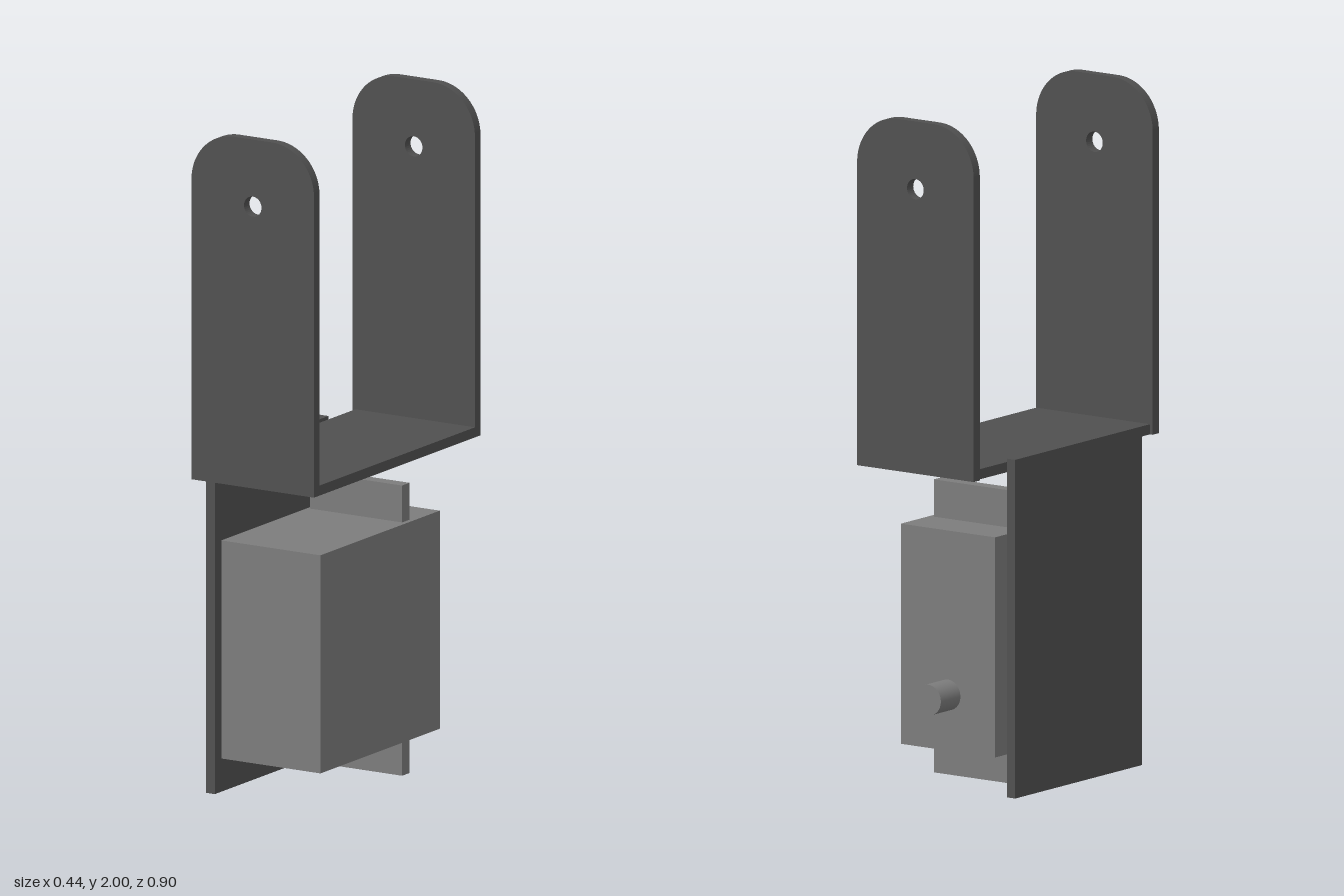
import * as THREE from 'three';

const dark = new THREE.MeshStandardMaterial({ color: 0x505050 });
const light = new THREE.MeshStandardMaterial({ color: 0x7c7c7c });

// Box given by its min and max corners
function box(name, material, [x0, y0, z0], [x1, y1, z1]) {
  const mesh = new THREE.Mesh(new THREE.BoxGeometry(x1 - x0, y1 - y0, z1 - z0), material);
  mesh.name = name;
  mesh.position.set((x0 + x1) / 2, (y0 + y1) / 2, (z0 + z1) / 2);
  return mesh;
}

// Upright arm with two rounded top corners and a pivot hole
function armGeometry(depth) {
  const x0 = -0.2, x1 = 0.22, y0 = 0.96, y1 = 2, r = 0.145;
  const shape = new THREE.Shape();
  shape.moveTo(x0, y0);
  shape.lineTo(x1, y0);
  shape.lineTo(x1, y1 - r);
  shape.absarc(x1 - r, y1 - r, r, 0, Math.PI / 2);
  shape.lineTo(x0 + r, y1);
  shape.absarc(x0 + r, y1 - r, r, Math.PI / 2, Math.PI);
  shape.closePath();
  const hole = new THREE.Path();
  hole.absarc(0.01, 1.8, 0.03, 0, Math.PI * 2, true);
  shape.holes.push(hole);
  return new THREE.ExtrudeGeometry(shape, { depth, bevelEnabled: false, curveSegments: 16 });
}

export function createModel() {
  const model = new THREE.Group();
  model.name = 'servoBracket';

  // U-shaped bracket: two arms and the floor joining them
  const bracket = new THREE.Group();
  bracket.name = 'uBracket';
  const arm = armGeometry(0.03);
  for (const [name, z] of [['frontArm', 0.42], ['backArm', -0.45]]) {
    const mesh = new THREE.Mesh(arm, dark);
    mesh.name = name;
    mesh.position.z = z;
    bracket.add(mesh);
  }
  bracket.add(box('bracketFloor', dark, [-0.19, 0.96, -0.42], [0.22, 0.99, 0.42]));
  model.add(bracket);

  // Mounting plate on the right side
  model.add(box('sidePlate', dark, [-0.22, 0, -0.275], [-0.19, 1, 0.34]));

  // Servo: body, mounting tabs above and below, output shaft at the back
  const servo = new THREE.Group();
  servo.name = 'servo';
  servo.add(box('servoBody', light, [-0.155, 0.115, -0.285], [0.185, 0.765, 0.36]));
  servo.add(box('lowerTab', light, [-0.145, 0.01, -0.145], [0.17, 0.115, -0.105]));
  servo.add(box('upperTab', light, [-0.145, 0.765, -0.145], [0.17, 0.875, -0.105]));
  const shaft = new THREE.Mesh(new THREE.CylinderGeometry(0.045, 0.045, 0.095, 32), light);
  shaft.name = 'outputShaft';
  shaft.rotation.x = Math.PI / 2;
  shaft.position.set(0.015, 0.28, -0.3325);
  servo.add(shaft);
  model.add(servo);

  return model;
}
